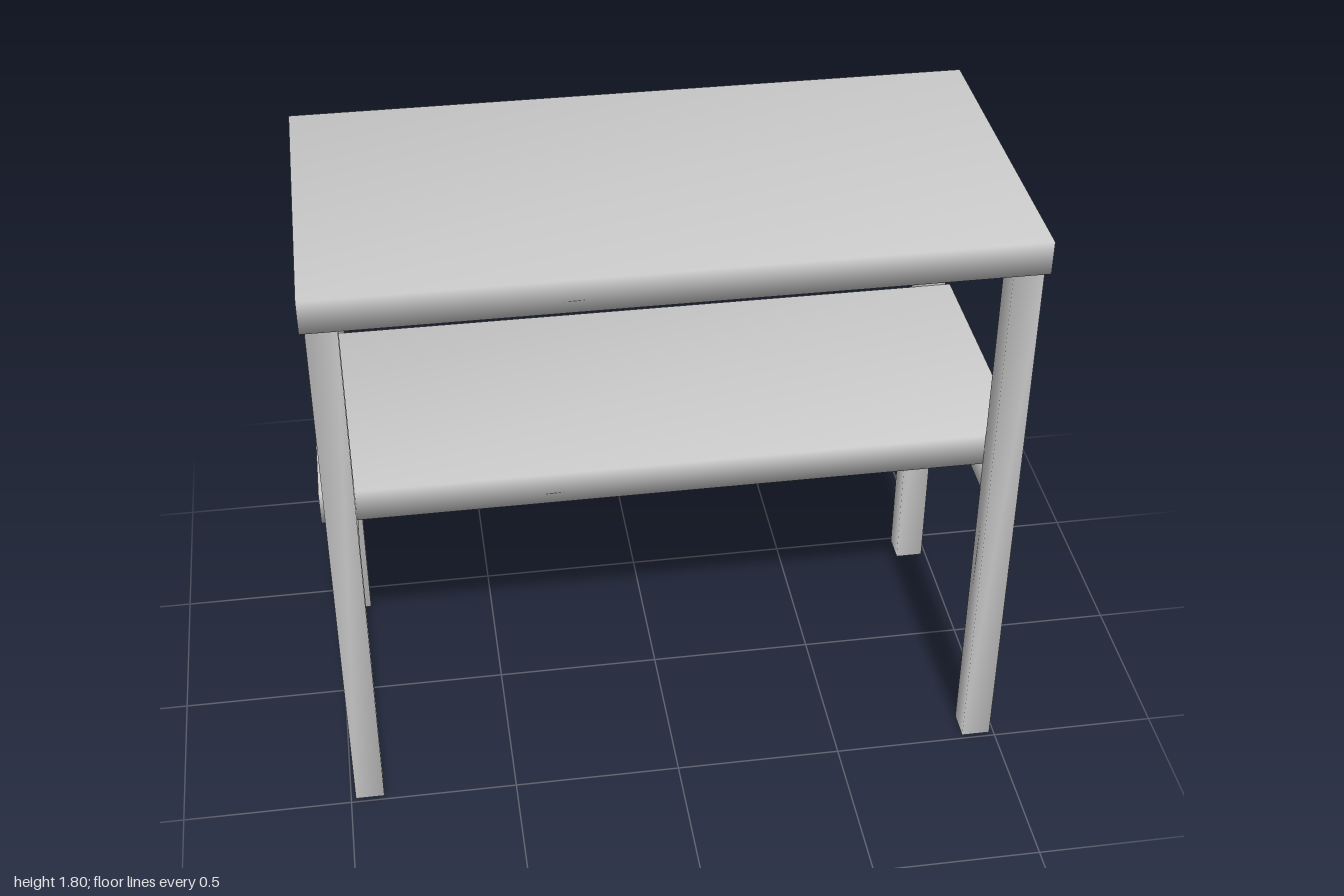
import * as THREE from 'three';
import { mergeVertices } from 'three/addons/utils/BufferGeometryUtils.js';

const material = new THREE.MeshStandardMaterial({ color: 0xcccccc });

// Box with welded corners, so its shading runs smoothly over the edges
function softBox(name, [w, h, d], [x, bottom, z]) {
  let geometry = new THREE.BoxGeometry(w, h, d);
  geometry.deleteAttribute('normal');
  geometry.deleteAttribute('uv');
  geometry = mergeVertices(geometry);
  geometry.computeVertexNormals();
  const mesh = new THREE.Mesh(geometry, material);
  mesh.name = name;
  mesh.position.set(x, bottom + h / 2, z);
  return mesh;
}

export function createModel() {
  const table = new THREE.Group();
  table.name = 'sideTable';

  const post = 0.086; // thickness of legs and rails
  const legX = 0.943;
  const legZ = 0.443;

  // Top board, and the shelf that fits between front and back legs
  table.add(softBox('tableTop', [2, 0.1, 1], [0, 1.7, 0]));
  table.add(softBox('shelf', [2, 0.1, 0.8], [0, 1, 0]));

  for (const [sideName, sx] of [['left', 1], ['right', -1]]) {
    // Rail carrying the shelf at each end
    table.add(softBox(`${sideName}ShelfRail`, [post, post, 0.8], [sx * legX, 1 - post, 0]));
    // Front and back legs
    for (const [endName, sz] of [['Front', 1], ['Back', -1]]) {
      table.add(softBox(`${sideName}${endName}Leg`, [post, 1.7, post], [sx * legX, 0, sz * legZ]));
    }
  }
  return table;
}
